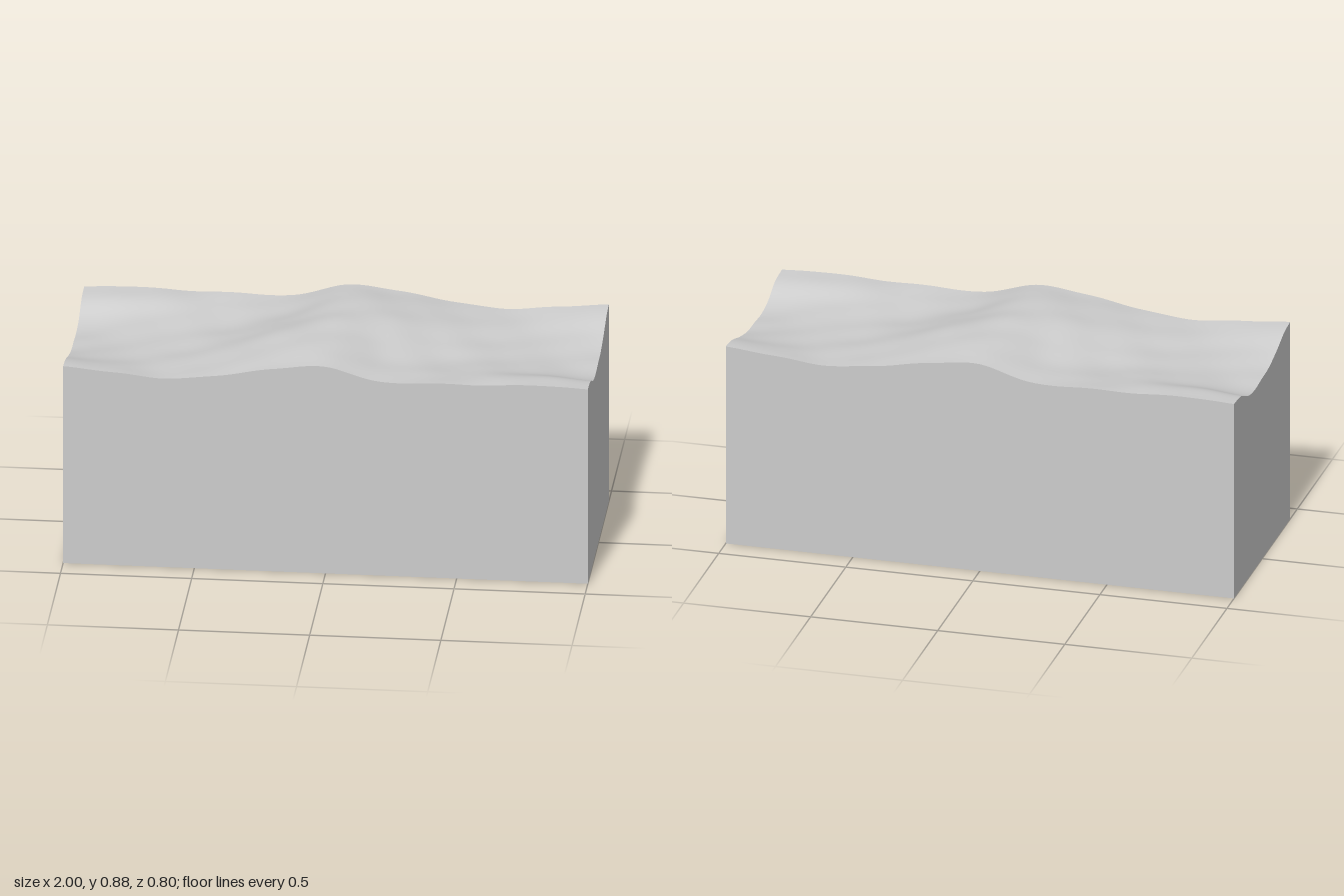
import * as THREE from 'three';

// Surface heights in hundredths for x = -1 .. 1 (step 0.2); rows run z = 0.4, 0.3 .. 0.
// The rear half repeats these under a half turn about the vertical axis.
const FRONT_ROWS = [
  [81.0, 79.5, 77.7, 80.0, 83.5, 85.0, 80.0, 80.0, 80.0, 81.0, 80.0],
  [80.0, 78.0, 77.6, 80.3, 84.2, 86.2, 80.3, 79.2, 79.7, 80.2, 79.4],
  [77.0, 76.5, 77.3, 80.5, 84.8, 86.8, 80.8, 78.2, 78.2, 77.2, 75.2],
  [75.0, 75.8, 76.8, 80.0, 85.0, 87.1, 82.2, 78.0, 77.3, 75.8, 73.8],
  [74.2, 75.5, 77.0, 79.0, 84.0, 87.5, 84.0, 79.0, 77.0, 75.5, 74.2],
];
const ROWS = [...FRONT_ROWS, ...FRONT_ROWS.slice(0, 4).reverse().map((r) => [...r].reverse())];

// Catmull-Rom through evenly spaced values, t in steps
function spline(values, t) {
  const i = Math.min(Math.floor(t), values.length - 2);
  const f = t - i;
  const at = (k) => values[THREE.MathUtils.clamp(k, 0, values.length - 1)];
  const [a, b, c, d] = [at(i - 1), at(i), at(i + 1), at(i + 2)];
  return b + 0.5 * f * (c - a + f * (2 * a - 5 * b + 4 * c - d + f * (3 * (b - c) + d - a)));
}

function surfaceHeight(x, z) {
  const u = THREE.MathUtils.clamp((x + 1) * 5, 0, 10);
  const v = THREE.MathUtils.clamp((0.4 - z) * 10, 0, 8);
  const base = spline(ROWS.map((row) => spline(row, u)), v) / 100;
  // gentle small undulation, also symmetric under the half turn
  return base + 0.002 * Math.cos(19 * x + 9 * z) * Math.cos(23 * z - 7 * x);
}

export function createModel() {
  const model = new THREE.Group();
  model.name = 'terrainSection';

  // Solid block whose upper vertices follow the rolling ground
  const geometry = new THREE.BoxGeometry(2, 0.8, 0.8, 100, 1, 40);
  geometry.translate(0, 0.4, 0);
  const pos = geometry.attributes.position;
  for (let i = 0; i < pos.count; i++) {
    if (pos.getY(i) > 0.4) pos.setY(i, surfaceHeight(pos.getX(i), pos.getZ(i)));
  }
  geometry.computeVertexNormals();

  const block = new THREE.Mesh(geometry, new THREE.MeshStandardMaterial({ color: 0xcccccc }));
  block.name = 'groundBlock';
  model.add(block);
  return model;
}
